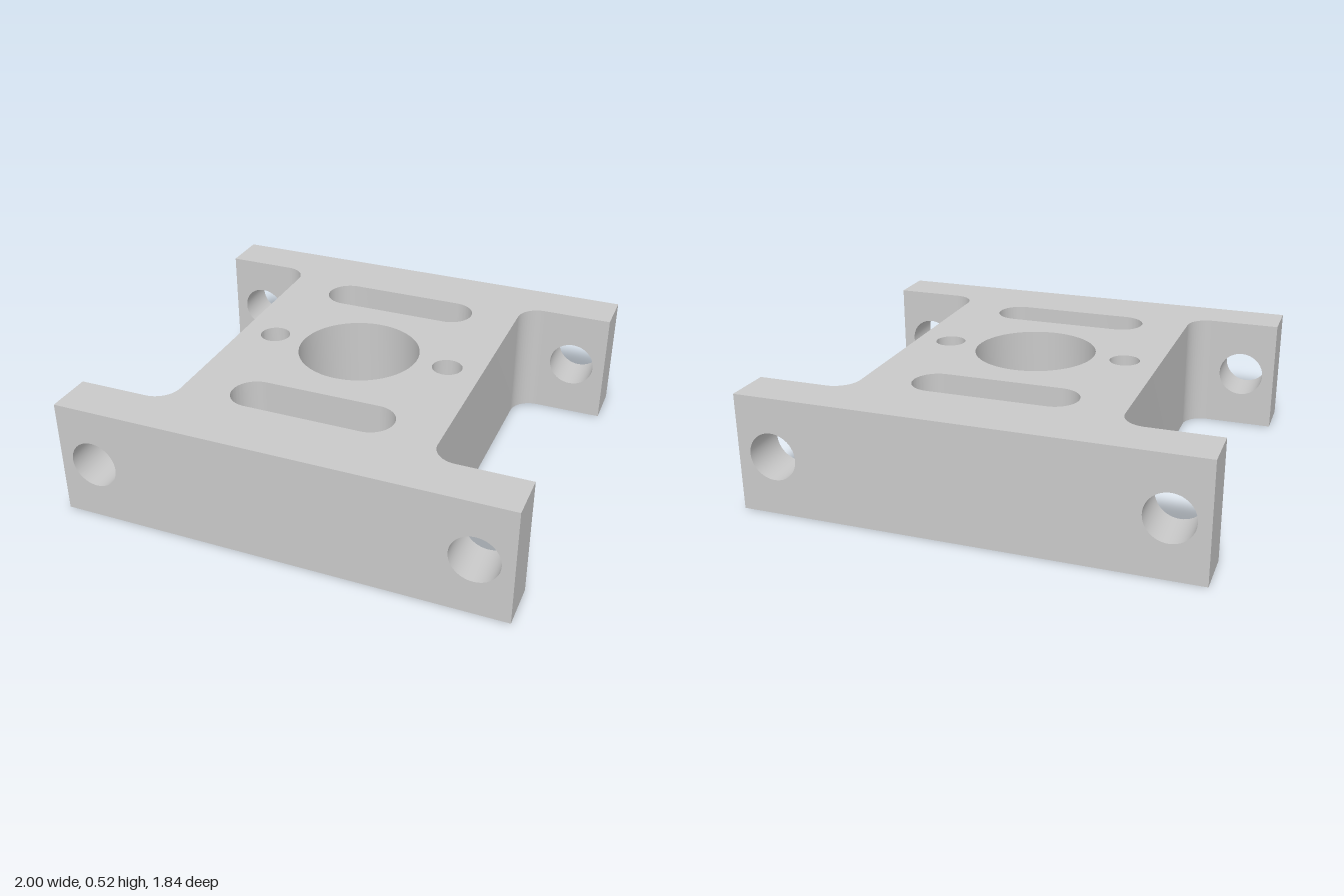
import * as THREE from 'three';
import { toCreasedNormals } from 'three/addons/utils/BufferGeometryUtils.js';

const HEIGHT = 0.525;
const Z_OUT = 0.92, Z_IN = 0.71; // outer and inner faces of the flanges
const WEB = 0.58, FILLET = 0.105; // half width of the web, inner corner radius
const SEAM = WEB + FILLET; // x where the flange ends join the body

function circle(x, y, r) {
  return new THREE.Path().absarc(x, y, r, 0, Math.PI * 2, true);
}

function slot(y, halfLength, r) {
  const c = halfLength - r;
  const path = new THREE.Path();
  path.absarc(c, y, r, -Math.PI / 2, Math.PI / 2, false);
  path.absarc(-c, y, r, Math.PI / 2, Math.PI * 1.5, false);
  path.closePath();
  return path;
}

// Extrude, leave out the hidden faces on either seam plane, and smooth the round walls
function solid(shape, depth) {
  const source = new THREE.ExtrudeGeometry(shape, { depth, bevelEnabled: false, curveSegments: 24 });
  const p = source.getAttribute('position');
  const kept = [];
  for (let i = 0; i < p.count; i += 3) {
    const corners = [i, i + 1, i + 2];
    const onSeam = [-SEAM, SEAM].some((x) => corners.every((k) => Math.abs(p.getX(k) - x) < 1e-4));
    if (onSeam) continue;
    for (const k of corners) kept.push(p.getX(k), p.getY(k), p.getZ(k));
  }
  const geometry = new THREE.BufferGeometry();
  geometry.setAttribute('position', new THREE.Float32BufferAttribute(kept, 3));
  return toCreasedNormals(geometry, 0.4);
}

export function createModel() {
  const group = new THREE.Group();
  group.name = 'mountingBracket';
  const metal = new THREE.MeshStandardMaterial({ color: 0xc9c9c9 });
  metal.name = 'grey metal';

  // Body: web with filleted corners, bore, pin holes and slots
  const outline = new THREE.Shape();
  const c = Z_IN - FILLET;
  outline.moveTo(-SEAM, -Z_OUT);
  outline.lineTo(SEAM, -Z_OUT);
  outline.lineTo(SEAM, -Z_IN);
  outline.absarc(SEAM, -c, FILLET, -Math.PI / 2, -Math.PI, true);
  outline.absarc(SEAM, c, FILLET, Math.PI, Math.PI / 2, true);
  outline.lineTo(SEAM, Z_OUT);
  outline.lineTo(-SEAM, Z_OUT);
  outline.lineTo(-SEAM, Z_IN);
  outline.absarc(-SEAM, c, FILLET, Math.PI / 2, 0, true);
  outline.absarc(-SEAM, -c, FILLET, 0, -Math.PI / 2, true);
  outline.closePath();
  outline.holes.push(
    circle(0, 0, 0.275),
    circle(-0.42, 0, 0.068), circle(0.42, 0, 0.068),
    slot(-0.526, 0.368, 0.106), slot(0.526, 0.368, 0.106),
  );
  const body = new THREE.Mesh(solid(outline, HEIGHT).rotateX(-Math.PI / 2), metal);
  body.name = 'body';
  group.add(body);

  // Four flange ends, each with a bolt hole
  for (const side of [-1, 1]) {
    const x0 = side < 0 ? -1 : SEAM, x1 = side < 0 ? -SEAM : 1;
    const end = new THREE.Shape([
      new THREE.Vector2(x0, 0), new THREE.Vector2(x1, 0),
      new THREE.Vector2(x1, HEIGHT), new THREE.Vector2(x0, HEIGHT),
    ]);
    end.holes.push(circle(side * 0.84, HEIGHT / 2, 0.106));
    const geometry = solid(end, Z_OUT - Z_IN);
    for (const [name, z] of [['front', Z_IN], ['back', -Z_OUT]]) {
      const flange = new THREE.Mesh(geometry, metal);
      flange.name = name + (side < 0 ? 'Right' : 'Left') + 'FlangeEnd';
      flange.position.z = z;
      group.add(flange);
    }
  }
  return group;
}
